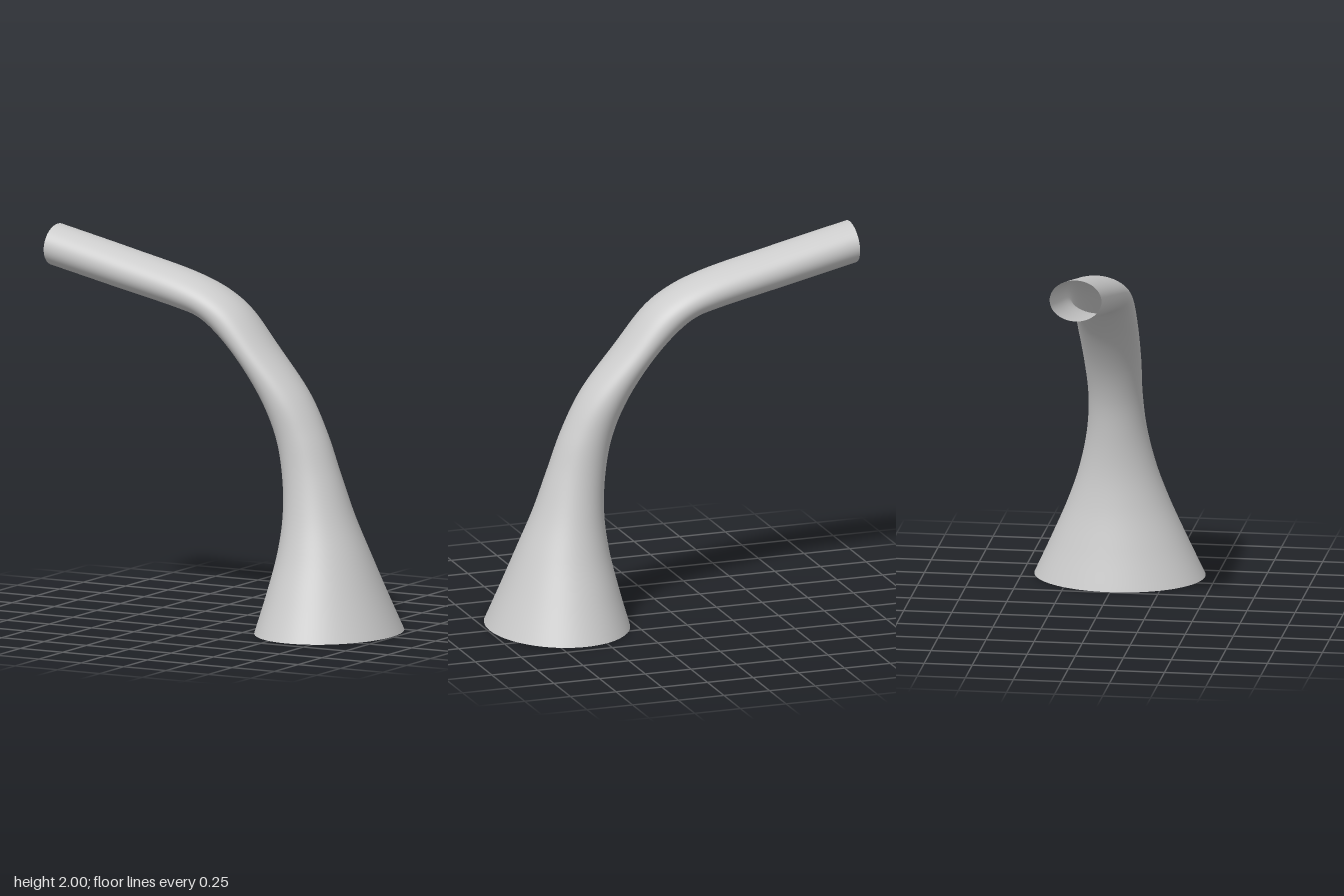
import * as THREE from 'three';

// Sections from base to mouth: inner edge x, y; outer edge x, y; half depth in z
const SECTIONS = [
  [0.255, 0, 0.99, 0, 0.443],
  [0.31, 0.2, 0.907, 0.2, 0.352],
  [0.358, 0.41, 0.823, 0.41, 0.262],
  [0.378, 0.6, 0.745, 0.6, 0.198],
  [0.367, 0.8, 0.668, 0.82, 0.154],
  [0.33, 0.99, 0.594, 1.02, 0.14],
  [0.25, 1.18, 0.487, 1.22, 0.147],
  [0.1, 1.4, 0.295, 1.45, 0.156],
  [-0.04, 1.535, 0.13, 1.645, 0.158],
  [-0.125, 1.588, 0.0, 1.735, 0.158],
  [-0.235, 1.619, -0.17, 1.805, 0.156],
  [-0.6, 1.698, -0.56, 1.903, 0.146],
  [-0.995, 1.785, -0.98, 2.0, 0.135],
];

// Lofts an open tube of elliptical rings between two edge curves
function loftTube(sections, rings, sides) {
  const inner = new THREE.CatmullRomCurve3(sections.map(s => new THREE.Vector3(s[0], s[1], s[4])));
  const outer = new THREE.CatmullRomCurve3(sections.map(s => new THREE.Vector3(s[2], s[3], s[4])));
  const positions = [];
  const indices = [];
  for (let i = 0; i <= rings; i++) {
    const a = inner.getPoint(i / rings);
    const b = outer.getPoint(i / rings);
    for (let j = 0; j < sides; j++) {
      const angle = (j / sides) * Math.PI * 2;
      const t = (1 + Math.cos(angle)) / 2;
      positions.push(
        a.x + (b.x - a.x) * t,
        a.y + (b.y - a.y) * t,
        Math.sin(angle) * (a.z + b.z) / 2
      );
      if (i < rings) {
        const k = (j + 1) % sides;
        const p = i * sides + j, q = i * sides + k;
        indices.push(p, p + sides, q, q, p + sides, q + sides);
      }
    }
  }
  const geometry = new THREE.BufferGeometry();
  geometry.setAttribute('position', new THREE.Float32BufferAttribute(positions, 3));
  geometry.setIndex(indices);
  geometry.computeVertexNormals();
  return geometry;
}

export function createModel() {
  const group = new THREE.Group();
  group.name = 'bentHorn';
  // Flared base bending into a straight, open-ended pipe
  const material = new THREE.MeshStandardMaterial({ color: 0xcccccc, side: THREE.DoubleSide });
  const tube = new THREE.Mesh(loftTube(SECTIONS, 96, 72), material);
  tube.name = 'flaredTube';
  group.add(tube);
  return group;
}
